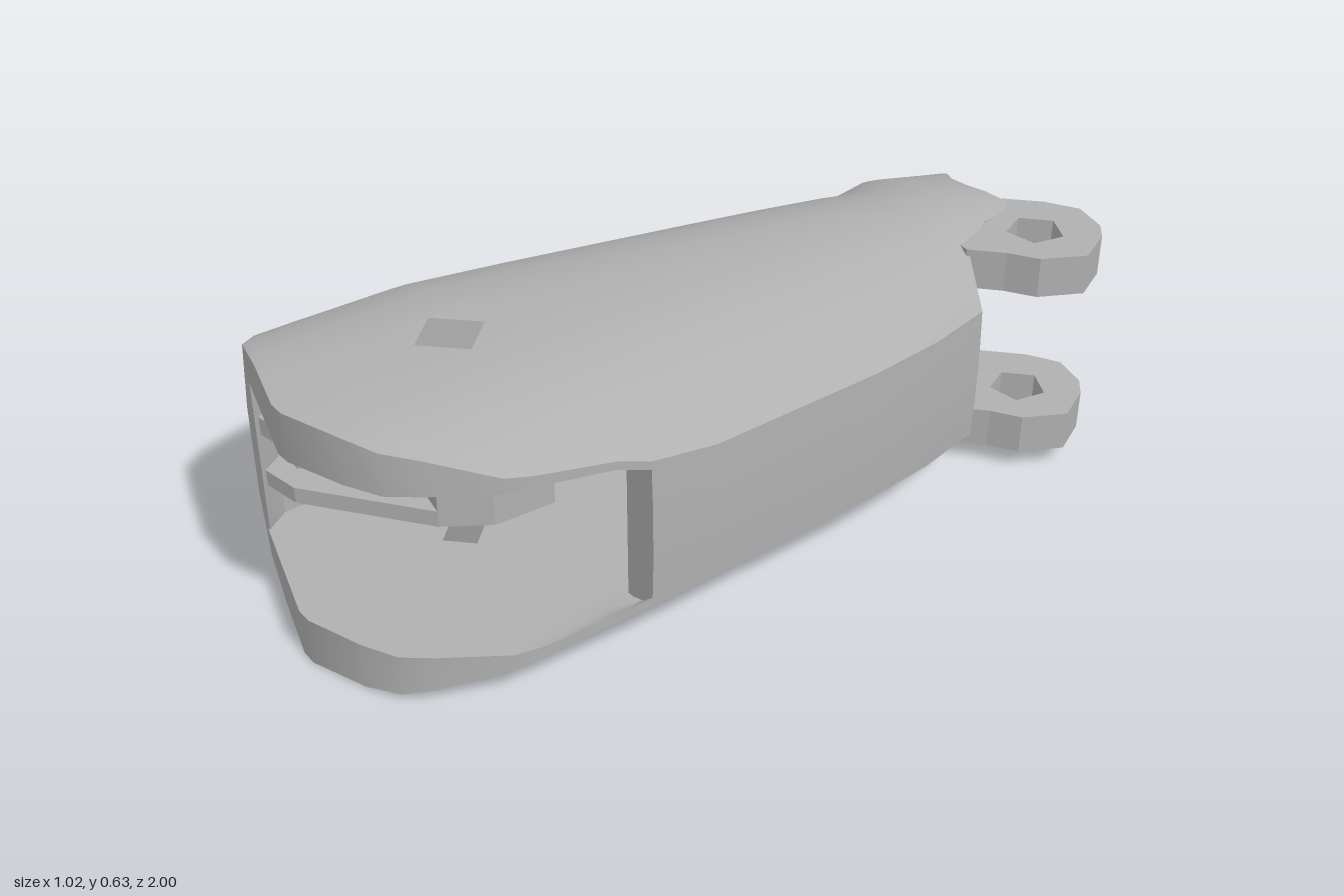
import * as THREE from 'three';
import { toCreasedNormals } from 'three/addons/utils/BufferGeometryUtils.js';

const MID = 0.32; // height of the mirror plane between the two plates

// Plan outline: z, left edge, right edge
const PLAN = [
  [0.998, -0.03, 0.03], [0.95, -0.2, 0.17], [0.91, -0.34, 0.25], [0.85, -0.41, 0.3],
  [0.72, -0.485, 0.39], [0.66, -0.5, 0.405], [0.48, -0.512, 0.435], [0.41, -0.495, 0.455],
  [0.25, -0.46, 0.47], [-0.2, -0.35, 0.47], [-0.4, -0.3, 0.455], [-0.58, -0.25, 0.42],
  [-0.64, -0.235, 0.31], [-0.76, -0.2, 0.24], [-1, -0.155, 0.22],
];
const LAST = PLAN.length - 1;

// Notched rear edge: x, z
const REAR = [[-0.2, -0.9], [-0.13, -1], [-0.02, -0.91], [0.04, -0.86], [0.16, -0.88], [0.3, -0.9]];
function rearZ(x) {
  for (let i = 1; i < REAR.length; i++) {
    const [x0, z0] = REAR[i - 1], [x1, z1] = REAR[i];
    if (x <= x1) return z0 + (z1 - z0) * Math.max(0, (x - x0) / (x1 - x0));
  }
  return -0.9;
}
const stationZ = (k, x) => (k === LAST ? rearZ(x) : PLAN[k][0]);

// Rounded shoulder lines and the domed half height between them
const shoulderL = (k) => (PLAN[k][0] > 0.45 ? -0.51 : PLAN[k][0] < -0.7 ? PLAN[k][1] - 0.08 : PLAN[k][1]);
const shoulderR = (k) => (PLAN[k][0] > 0.2 ? 0.48 : PLAN[k][0] < -0.6 ? 0.43 : PLAN[k][2] + 0.01);
const drop = (d, reach) => 0.16 * Math.pow(Math.min(1, Math.max(0, 1 - d / reach)), 3);
function halfHeight(x, k) {
  const rear = Math.max(0, -0.6 - stationZ(k, x)) * 0.12;
  return 0.317 - drop(x - shoulderL(k), 0.5) - drop(shoulderR(k) - x, 0.42) - rear;
}
// Inner face of the plate, closing in towards the rear
const ceiling = (z) => 0.522 - 0.035 * Math.min(1, Math.max(0, 0.4 - z));

function geometryOf(tris) {
  const g = new THREE.BufferGeometry();
  g.setAttribute('position', new THREE.Float32BufferAttribute(tris.flat(), 3));
  return toCreasedNormals(g, 0.5);
}
const quad = (t, a, b, c, d) => t.push(a, b, c, a, c, d);

// Loft closed rings; the first half of a ring faces the second half
function loft(rings, skip = () => false) {
  const t = [], m = rings[0].length, end = rings.length - 1;
  for (let j = 0; j < end; j++) {
    for (let i = 0; i < m; i++) {
      const n = (i + 1) % m;
      if (!skip(j, i)) quad(t, rings[j][i], rings[j][n], rings[j + 1][n], rings[j + 1][i]);
    }
  }
  for (let i = 0; i < m / 2 - 1; i++) {
    const f = rings[0], b = rings[end];
    quad(t, f[i], f[m - 1 - i], f[m - 2 - i], f[i + 1]);
    quad(t, b[i], b[i + 1], b[m - 2 - i], b[m - 1 - i]);
  }
  return t;
}

// Copy triangles to the other side of the mid plane
function mirrored(t) {
  const out = [];
  for (let i = 0; i < t.length; i += 3) {
    for (const p of [t[i], t[i + 2], t[i + 1]]) out.push([p[0], 2 * MID - p[1], p[2]]);
  }
  return out;
}

// Domed cover plate with a pin hole
function coverPlate() {
  const cols = [0, 0.05, 0.14, 0.26, 0.4, 0.6, 0.75, 0.87, 0.95, 1];
  const rings = PLAN.map(([, l, r], k) => {
    const xs = cols.map((f) => l + 0.02 + (r - l - 0.02) * f);
    const outer = xs.map((x) => [x, MID + halfHeight(x, k), stationZ(k, x)]);
    const inner = outer.map(([x, y, z]) => [x, Math.min(ceiling(z), y - 0.02), z]).reverse();
    return [...outer, ...inner];
  });
  const row = 5, col = 4, back = 2 * cols.length - 2 - col;
  const t = loft(rings, (j, i) => j === row && (i === col || i === back));
  // Frame each opening around a diamond and join them with a tapered tunnel
  const frame = (i, r) => {
    const c = [rings[row][i], rings[row][i + 1], rings[row + 1][i + 1], rings[row + 1][i]];
    const mid = [0, 1, 2].map((a) => c.reduce((s, p) => s + p[a], 0) / 4);
    const d = c.map((p, q) => {
      const n = c[(q + 1) % 4];
      const v = [0, 1, 2].map((a) => (p[a] + n[a]) / 2 - mid[a]);
      const len = Math.hypot(v[0], v[2]);
      return mid.map((m, a) => m + (v[a] * r) / len);
    });
    for (let q = 0; q < 4; q++) {
      const n = (q + 1) % 4;
      t.push(c[q], c[n], d[q], c[n], d[n], d[q]);
    }
    return d;
  };
  const a = frame(col, 0.085), b = frame(back, 0.055);
  // The inner diamond runs the other way round
  const pair = [b[0], b[3], b[2], b[1]];
  for (let q = 0; q < 4; q++) {
    const n = (q + 1) % 4;
    quad(t, a[q], a[n], pair[n], pair[q]);
  }
  return t;
}

// Side walls, slightly bulged on the outside
function wall(from, to, side) {
  const rings = [];
  for (let k = from; k <= to; k++) {
    const [z, l, r] = PLAN[k];
    const xe = side < 0 ? l + 0.02 : r;
    const xb = side < 0 ? l : r + 0.004;
    const innerL = z > 0.45 ? Math.max(-0.35, l + 0.03) : l + 0.14;
    const xi = side < 0 ? innerL : Math.max(0.37, r - 0.085);
    const top = halfHeight(xe, k) - 0.003;
    const h = [-1, -0.4, 0.4, 1];
    const outer = h.map((f, q) => {
      const x = q === 0 || q === 3 ? xe : xb;
      return [x, MID + f * top, stationZ(k, x)];
    });
    const inner = h.map((f) => [xi, MID + f * 0.207, stationZ(k, xi)]);
    rings.push(side < 0 ? [...outer, ...inner.reverse()] : [...inner, ...outer.reverse()]);
  }
  return loft(rings);
}

// Flat slab cut from an x/z outline with one hole
function slab(points, y0, y1, hole) {
  const shape = new THREE.Shape(points.map(([x, z]) => new THREE.Vector2(x, -z)));
  const [hx, hz, r, n] = hole;
  const ring = [];
  for (let i = 0; i < n; i++) {
    const a = (i / n) * Math.PI * 2 + 0.4;
    ring.push(new THREE.Vector2(hx + r * Math.cos(a), -hz + r * Math.sin(a)));
  }
  shape.holes.push(new THREE.Path(ring));
  const g = new THREE.ExtrudeGeometry(shape, { depth: y1 - y0, bevelEnabled: false });
  return g.rotateX(-Math.PI / 2).translate(0, y0, 0);
}

export function createModel() {
  const group = new THREE.Group();
  const grey = new THREE.MeshStandardMaterial({ color: 0xb0b0b0 });
  grey.name = 'grey';
  const add = (name, geometry) => {
    const mesh = new THREE.Mesh(geometry, grey);
    mesh.name = name;
    group.add(mesh);
  };

  // Shell
  const plate = coverPlate();
  add('topPlate', geometryOf(plate));
  add('bottomPlate', geometryOf(mirrored(plate)));
  add('rightWall', geometryOf(wall(2, LAST, -1)));
  add('leftWall', geometryOf(wall(7, 11, 1)));

  // Rear hinge ears
  const ear = [
    [0.12, -0.66], [0.12, -0.86], [0.16, -0.88], [0.25, -0.96], [0.33, -1], [0.42, -0.97],
    [0.46, -0.93], [0.505, -0.83], [0.45, -0.73], [0.38, -0.69], [0.31, -0.63],
  ];
  for (const [name, y] of [['upperEar', 0.488], ['lowerEar', 0.052]]) {
    add(name, slab(ear, y, y + 0.1, [0.34, -0.83, 0.07, 5]));
  }

  // Forked inner lug, solid at its free end
  const prong = [
    [-0.4, 0.82], [-0.34, 0.9], [-0.22, 0.88], [0.05, 0.68], [0.12, 0.58], [0.13, 0.43],
    [-0.05, 0.42], [-0.36, 0.45], [-0.4, 0.6],
  ];
  const web = [
    [-0.38, 0.82], [-0.28, 0.84], [-0.21, 0.7], [-0.06, 0.66], [0.05, 0.68], [0.12, 0.58],
    [0.13, 0.43], [-0.05, 0.42], [-0.36, 0.45],
  ];
  const pin = [-0.03, 0.57, 0.05, 6];
  add('upperProng', slab(prong, 0.365, 0.41, pin));
  add('lowerProng', slab(prong, 0.23, 0.27, pin));
  add('prongWeb', slab(web, 0.27, 0.365, pin));

  return group;
}
